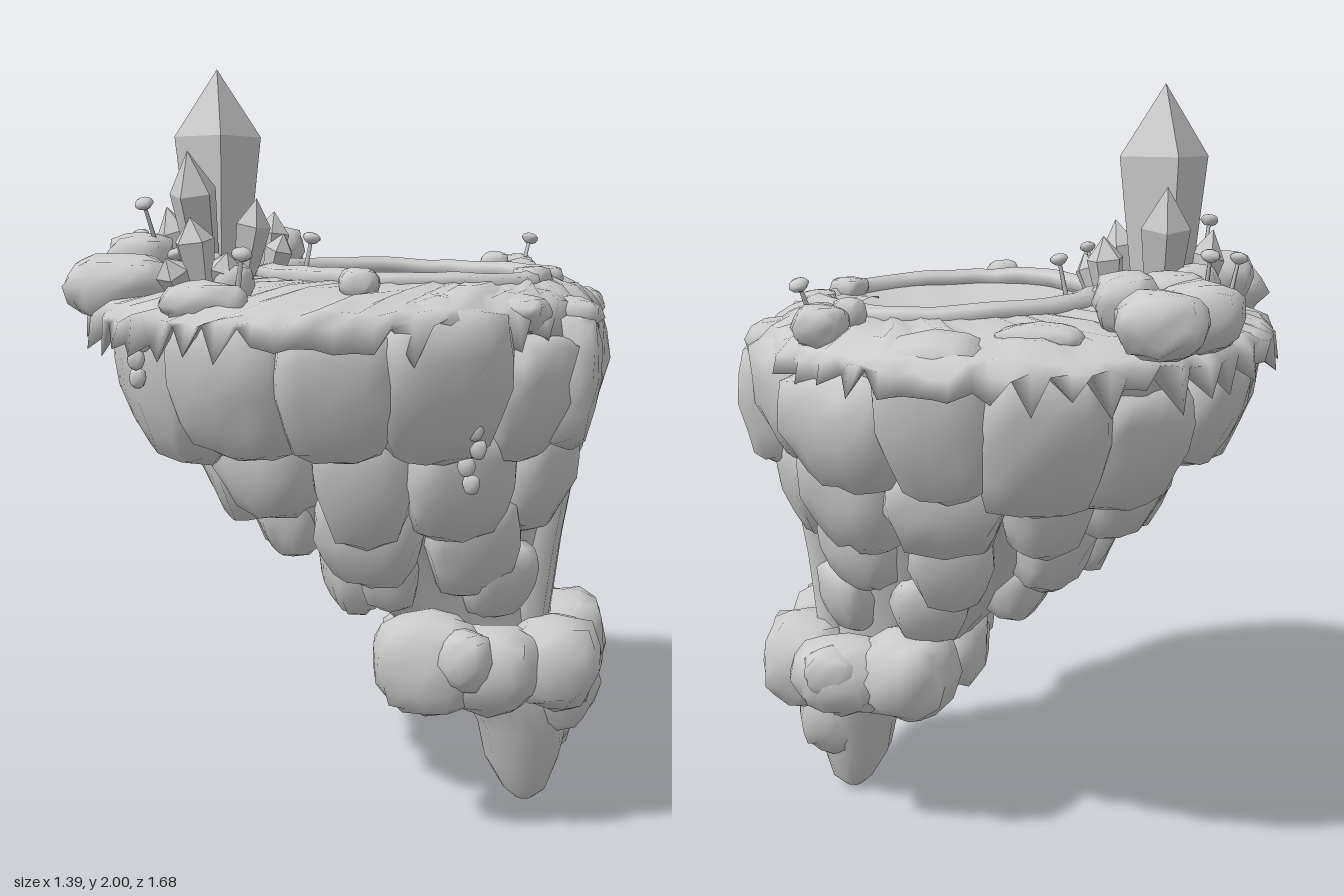
import * as THREE from 'three';
import { mergeVertices } from 'three/addons/utils/BufferGeometryUtils.js';

let seed = 7;
const rnd = () => { seed = (seed * 16807) % 2147483647; return seed / 2147483647; };
const jit = (a) => (rnd() - 0.5) * 2 * a;
const TAU = Math.PI * 2;
const mat = new THREE.MeshStandardMaterial({ color: 0xcccccc, side: THREE.DoubleSide });
const flat = new THREE.MeshStandardMaterial({ color: 0xcccccc, flatShading: true });

// Skin a list of closed rings of points, each ring running the same way round
function loft(rings) {
  const n = rings[0].length, pos = [], idx = [];
  rings.forEach((r) => r.forEach((p) => pos.push(...p)));
  for (let j = 0; j < rings.length - 1; j++) {
    for (let i = 0; i < n; i++) {
      const a = j * n + i, b = j * n + (i + 1) % n;
      idx.push(a, b, a + n, b, b + n, a + n);
    }
  }
  const g = new THREE.BufferGeometry();
  g.setAttribute('position', new THREE.Float32BufferAttribute(pos, 3));
  g.setIndex(idx);
  g.computeVertexNormals();
  return g;
}

// Elliptical ring; wobble roughens the radius, rough the height
function ring(n, cx, cz, rx, rz, y, wobble = 0, rough = 0) {
  return Array.from({ length: n }, (_, i) => {
    const a = (i / n) * TAU, k = 1 + jit(wobble);
    return [cx + Math.cos(a) * rx * k, y + jit(rough), cz + Math.sin(a) * rz * k];
  });
}

// Rounded, slightly dented block; taper narrows its foot
function stone(w, h, d, round = 0.6, taper = 0.25, rough = 0.05) {
  let g = new THREE.BoxGeometry(2, 2, 2, 4, 4, 4);
  g.deleteAttribute('normal');
  g.deleteAttribute('uv');
  g = mergeVertices(g);
  const p = g.attributes.position, v = new THREE.Vector3();
  for (let i = 0; i < p.count; i++) {
    v.fromBufferAttribute(p, i);
    v.lerp(v.clone().normalize().multiplyScalar(1.1), round);
    const k = v.y < 0 ? 1 + v.y * taper : 1;
    p.setXYZ(i, (v.x * k + jit(rough)) * w / 2, (v.y + jit(rough)) * h / 2, (v.z * k + jit(rough)) * d / 2);
  }
  g.computeVertexNormals();
  return g;
}

export function createModel() {
  seed = 7;
  const root = new THREE.Group();
  const add = (name, g, x = 0, y = 0, z = 0, parent = root, m = mat) => {
    const mesh = new THREE.Mesh(g, m);
    mesh.name = name;
    mesh.position.set(x, y, z);
    parent.add(mesh);
    return mesh;
  };
  const group = (name) => { const g = new THREE.Group(); g.name = name; root.add(g); return g; };

  // Leaning core, ending in the pointed root: y, centre x, radius x, radius z
  const core = [
    [1.39, 0.01, 0.6, 0.74], [1.2, 0.05, 0.56, 0.64], [1.0, 0.12, 0.46, 0.48], [0.8, 0.2, 0.36, 0.35],
    [0.6, 0.3, 0.24, 0.25], [0.45, 0.38, 0.18, 0.2], [0.33, 0.46, 0.14, 0.16], [0.23, 0.49, 0.12, 0.13],
    [0.13, 0.49, 0.1, 0.09], [0.04, 0.5, 0.06, 0.05], [0.01, 0.5, 0.025, 0.025], [0.0, 0.5, 0.001, 0.001],
  ];
  add('rockCore', loft(core.map(([y, cx, rx, rz]) => ring(22, cx, 0, rx, rz, y, 0.05))));
  const coreAt = (y) => {
    const i = Math.max(1, core.findIndex((c) => c[0] <= y)), a = core[i - 1], b = core[i];
    const t = (a[0] - y) / (a[0] - b[0]);
    return a.map((v, k) => v + (b[k] - v) * t);
  };

  // Tiers of bulging rocks, leaving a channel for the waterfall
  const rocks = group('cliffRocks');
  [[1.21, 15, 0.31, 0.36, 0.24], [1.0, 12, 0.27, 0.31, 0.22], [0.83, 9, 0.24, 0.27, 0.18], [0.68, 7, 0.18, 0.22, 0.14]]
    .forEach(([y0, n, w, h, d], row) => {
      for (let i = 0; i < n; i++) {
        const a = ((i + 0.5 + row * 0.5) / n) * TAU, y = y0 + jit(0.045);
        const [, cx, rx, rz] = coreAt(y);
        const x = cx + Math.cos(a) * rx * 0.97, z = Math.sin(a) * rz * 0.97;
        if (Math.cos(a) > 0 && Math.abs(z) < 0.14 + w * 0.3) continue;
        const s = 1 + jit(0.14);
        const r = add('cliffRock', stone(w * s, h * (1 + jit(0.14)), d * s), x, y, z, rocks);
        r.rotation.order = 'YXZ';
        r.rotation.set(0.22, Math.atan2(Math.cos(a) / rx, Math.sin(a) / rz), jit(0.08));
      }
    });
  for (const s of [1, -1]) add('channelRock', stone(0.2, 0.34, 0.23), 0.59, 1.21, s * 0.26, rocks);

  // Grass mat with a ragged hanging fringe
  const N = 96, px = 0.165, pz = -0.01;
  const lip = ring(N, 0, 0, 0.67, 0.82, 1.375, 0.022, 0.012);
  const fringe = lip.map(([x, , z], i) => {
    const k = i % 2 ? 1.015 : 0.975;
    return [x * k, (i % 2 ? 1.3 : 1.345) + jit(0.035), z * k];
  });
  add('grassTop', loft([
    ring(N, px, pz, 0.34, 0.41, 1.42), ring(N, px, pz, 0.37, 0.45, 1.455, 0.01, 0.004),
    ring(N, 0.09, -0.01, 0.49, 0.58, 1.44, 0.02, 0.012), ring(N, 0.04, 0, 0.57, 0.69, 1.425, 0.015, 0.012),
    ring(N, 0.01, 0, 0.64, 0.78, 1.4, 0.01, 0.01), lip, fringe, ring(N, 0, 0, 0.6, 0.74, 1.36),
  ].reverse()));

  // Pond, its raised rim and the waterfall leaving through the gap
  add('pondWater', loft([
    ring(28, px, pz, 0.001, 0.001, 1.4), ring(28, px, pz, 0.17, 0.2, 1.408, 0, 0.005),
    ring(28, px, pz, 0.355, 0.43, 1.44),
  ].reverse()));
  const arc = [];
  for (let i = 0; i <= 30; i++) {
    const a = 0.3 + (i / 30) * (TAU - 0.56);
    arc.push(new THREE.Vector3(px + Math.cos(a) * (0.365 + jit(0.008)), 1.452 + jit(0.006) - 0.012 * Math.cos(a), pz + Math.sin(a) * (0.44 + jit(0.01))));
  }
  const rim = new THREE.TubeGeometry(new THREE.CatmullRomCurve3(arc), 90, 0.04, 7);
  rim.translate(0, -1.45, 0).scale(1, 0.7, 1).translate(0, 1.45, 0);
  add('pondRim', rim);
  [[arc[0], 0.3], [arc[30], -0.26]].forEach(([p, a]) => { add('rimEnd', stone(0.09, 0.07, 0.1), p.x, p.y, p.z).rotation.y = -a; });
  const fall = [[0.42, 1.43, 0.11], [0.54, 1.43, 0.12], [0.61, 1.405, 0.135], [0.645, 1.34, 0.14], [0.64, 1.2, 0.135],
    [0.61, 0.95, 0.135], [0.575, 0.75, 0.14], [0.55, 0.55, 0.15], [0.55, 0.42, 0.17]];
  add('waterfall', loft(fall.map(([x, y, w], j) => {
    const t = j < 3 ? [0, -0.04] : [-0.08, 0];
    return [[x, y, w], [x + 0.012, y + 0.004, w * 0.4], [x + 0.012, y + 0.004, -w * 0.4], [x, y, -w],
      [x + t[0], y + t[1], -w], [x + t[0], y + t[1], w]];
  })));

  // Billowing mist wrapped round the foot: x, y, z, width, height, depth
  const mist = group('mist');
  [[0.27, 0.47, 0.29, 0.27, 0.26, 0.22], [0.27, 0.47, -0.27, 0.25, 0.24, 0.24], [0.42, 0.45, 0.25, 0.26, 0.22, 0.24],
    [0.44, 0.46, -0.28, 0.26, 0.2, 0.22], [0.58, 0.45, 0.15, 0.24, 0.24, 0.26], [0.59, 0.44, -0.12, 0.23, 0.26, 0.27],
    [0.59, 0.36, 0.02, 0.2, 0.24, 0.22], [0.2, 0.45, 0.02, 0.18, 0.2, 0.36], [0.37, 0.43, 0, 0.3, 0.2, 0.55],
    [0.54, 0.26, -0.05, 0.18, 0.24, 0.18], [0.37, 0.5, 0.35, 0.14, 0.15, 0.12], [0.46, 0.49, -0.35, 0.14, 0.13, 0.1]]
    .forEach(([x, y, z, w, h, d]) => add('mistPuff', stone(w, h, d, 0.85, 0.1, 0.09), x, y, z, mist));

  // Four-sided crystals: base x, y, z, height, radius, tilt x, tilt z
  const crystals = group('crystals');
  [[-0.37, 1.4, -0.04, 0.6, 0.118, 0, 0], [-0.38, 1.42, 0.05, 0.37, 0.065, 0.27, 0.05],
    [-0.37, 1.42, -0.1, 0.34, 0.065, -0.24, 0.05], [-0.29, 1.42, 0.01, 0.24, 0.05, 0.1, -0.2],
    [-0.24, 1.42, -0.06, 0.2, 0.05, -0.05, -0.1], [-0.2, 1.42, 0.06, 0.15, 0.04, 0.15, -0.3],
    [-0.44, 1.4, 0, 0.24, 0.05, 0.1, 0.25], [-0.24, 1.42, 0.55, 0.19, 0.05, 0.15, 0.1],
    [-0.18, 1.41, 0.58, 0.13, 0.04, 0.4, -0.2], [-0.25, 1.41, 0.64, 0.13, 0.04, 0.6, 0.2]]
    .forEach(([x, y, z, h, r, tx, tz], i) => {
      const prof = [[0.6, 0], [1, 0.7], [0, 1]].map(([a, b]) => new THREE.Vector2(a * r, b * h));
      const c = add('crystal', new THREE.LatheGeometry(prof, i ? 5 : 4), x, y, z, crystals, flat);
      c.rotation.set(tx, i ? i : 0.35, tz, 'XZY');
    });

  // Boulders and domed bushes on the grass: x, y, z, width, height, depth
  const bushes = group('bouldersAndBushes');
  [[-0.4, 1.47, -0.64, 0.2, 0.15, 0.18], [-0.48, 1.47, -0.49, 0.2, 0.16, 0.17], [-0.31, 1.5, -0.48, 0.15, 0.14, 0.15],
    [-0.4, 1.48, -0.24, 0.2, 0.13, 0.16], [-0.3, 1.47, -0.17, 0.12, 0.1, 0.14], [-0.45, 1.48, -0.12, 0.14, 0.15, 0.12],
    [-0.52, 1.49, 0.17, 0.17, 0.14, 0.18], [-0.5, 1.43, 0.38, 0.28, 0.16, 0.22], [-0.42, 1.45, 0.13, 0.14, 0.1, 0.12],
    [-0.2, 1.41, 0.68, 0.2, 0.1, 0.14], [-0.15, 1.45, 0.6, 0.09, 0.1, 0.1], [0.14, 1.45, 0.56, 0.09, 0.08, 0.09],
    [0.35, 1.46, -0.49, 0.08, 0.08, 0.08], [0.43, 1.44, -0.45, 0.1, 0.08, 0.08], [0.4, 1.44, -0.56, 0.13, 0.1, 0.12],
    [-0.12, 1.42, -0.58, 0.2, 0.08, 0.12], [0.58, 1.36, 0.22, 0.2, 0.1, 0.2], [0.6, 1.36, -0.24, 0.16, 0.1, 0.18],
    [-0.23, 1.46, -0.1, 0.08, 0.08, 0.1], [-0.28, 1.45, 0.13, 0.06, 0.08, 0.06], [0.5, 1.38, 0.42, 0.14, 0.09, 0.2]]
    .forEach(([x, y, z, w, h, d]) => add('boulder', stone(w, h, d, 0.85, 0.15, 0.08), x, y, z, bushes));

  // Little capped sprouts: x, z, height, lean x, lean z
  const sprouts = group('sprouts');
  [[-0.48, -0.2, 0.17, -0.2, 0.1], [-0.46, 0.13, 0.25, 0.5, 0.1], [-0.13, 0.64, 0.11, 0.3, -0.2], [0.42, -0.52, 0.13, -0.4, -0.2],
    [-0.12, 0.02, 0.13, 0, -0.2], [-0.54, 0.02, 0.14, 0.2, 0.2], [-0.3, 0.24, 0.08, 0.2, 0], [-0.3, 0.48, 0.1, 0.1, 0.2]]
    .forEach(([x, z, h, tx, tz]) => {
      const s = new THREE.Group();
      s.name = 'sprout';
      s.position.set(x, 1.42, z);
      s.rotation.set(tx, 0, tz);
      sprouts.add(s);
      add('stem', new THREE.CylinderGeometry(0.005, 0.008, h, 5), 0, h / 2, 0, s);
      add('cap', stone(0.045, 0.03, 0.045, 1, 0.3), 0, h, 0, s);
    });

  // Strings of leaves trailing down the front cliff
  const vines = group('vines');
  [[0.41, 0.64, 1.3, 0.98], [-0.36, 0.66, 1.32, 1.2]].forEach(([x, z, top, end]) => {
    for (let y = top; y > end; y -= 0.045) add('vineLeaf', stone(0.04, 0.045, 0.03, 0.8), x + jit(0.02), y, z - (top - y) * 0.35, vines);
  });
  return root;
}
